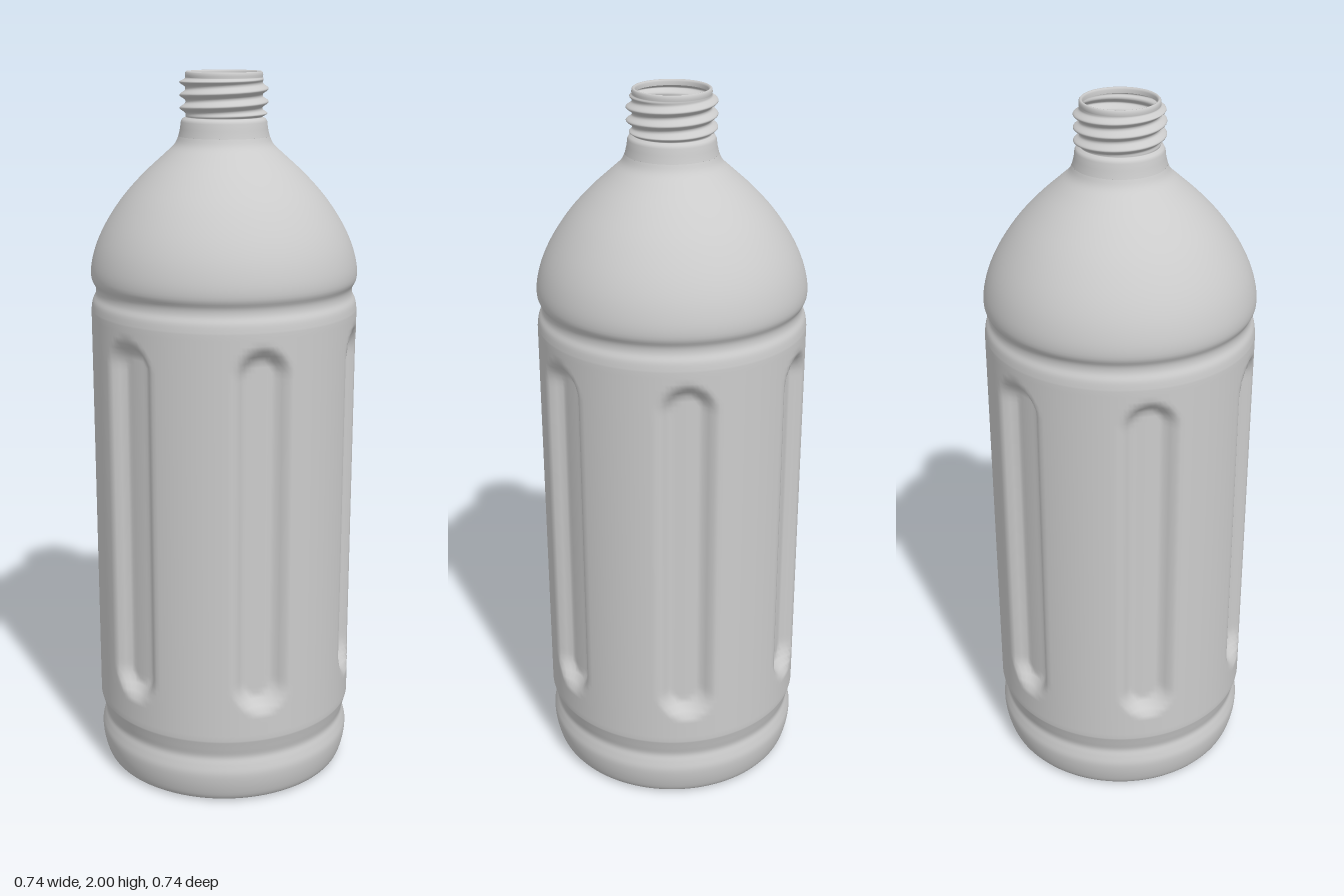
import * as THREE from 'three';
import { mergeVertices } from 'three/addons/utils/BufferGeometryUtils.js';

const v2 = (x, y) => new THREE.Vector2(x, y);
const spline = (pts, n) => new THREE.SplineCurve(pts.map(([x, y]) => v2(x, y))).getPoints(n);
const smooth = THREE.MathUtils.smoothstep;

// Lathe whose radius is changed by a rule radius(r, y, angle), smooth across the seam
function shapedLathe(points, segments, radius) {
  let geo = new THREE.LatheGeometry(points, segments);
  const pos = geo.attributes.position;
  for (let i = 0; i < pos.count; i++) {
    const x = pos.getX(i), y = pos.getY(i), z = pos.getZ(i);
    const r = Math.hypot(x, z);
    if (r < 1e-4) continue;
    const k = radius(r, y, Math.atan2(x, z)) / r;
    pos.setXYZ(i, x * k, y, z * k);
  }
  geo.deleteAttribute('uv');
  geo.deleteAttribute('normal');
  geo = mergeVertices(geo, 1e-5);
  geo.computeVertexNormals();
  return geo;
}

// Six upright grip grooves with rounded ends, one facing the front
function grooved(r, y, angle) {
  if (y < 0.2 || y > 1.36) return r;
  const step = Math.PI / 3;
  const across = (angle - Math.round(angle / step) * step) * r;
  const along = Math.max(0, Math.abs(y - 0.8) - 0.44);
  return r - 0.036 * (1 - smooth(Math.hypot(across, along), 0.042, 0.082));
}

// Helical screw thread that fades out at both ends
function threaded(r, y, angle) {
  if (y < 1.88 || y > 1.985) return r;
  const turn = (y - 1.88) / 0.034 - angle / (2 * Math.PI);
  const ridge = Math.pow(0.5 + 0.5 * Math.cos(turn * 2 * Math.PI), 1.3);
  const fade = smooth(y, 1.88, 1.892) * (1 - smooth(y, 1.973, 1.985));
  return r + 0.016 * ridge * fade;
}

export function createModel() {
  const bottle = new THREE.Group();
  bottle.name = 'bottle';
  const material = new THREE.MeshStandardMaterial({ color: 0xcccccc, side: THREE.DoubleSide });
  const add = (name, geo) => {
    const mesh = new THREE.Mesh(geo, material);
    mesh.name = name;
    bottle.add(mesh);
  };

  // Base with raised centre, foot and lower waist ring
  const base = spline([[0, 0.1], [0.04, 0.088], [0.1, 0.05], [0.19, 0.03], [0.27, 0.01], [0.315, 0],
    [0.347, 0.008], [0.362, 0.045], [0.368, 0.09], [0.362, 0.12], [0.356, 0.143], [0.362, 0.17], [0.37, 0.2]], 48);
  // Straight wall, with rows close enough for the grooves
  const wall = [];
  for (let i = 1; i < 72; i++) wall.push(v2(0.37, 0.2 + 1.16 * i / 72));
  // Upper waist ring and domed shoulder
  const shoulder = spline([[0.37, 1.36], [0.366, 1.385], [0.357, 1.405], [0.357, 1.425], [0.368, 1.45],
    [0.366, 1.49], [0.35, 1.545], [0.32, 1.605], [0.275, 1.67], [0.22, 1.73], [0.165, 1.78],
    [0.135, 1.808], [0.124, 1.83]], 48);
  add('body', shapedLathe([...base, ...wall, ...shoulder], 192, grooved));

  // Neck with screw thread and open, turned-in lip
  const neck = [v2(0.124, 1.83), v2(0.119, 1.85), v2(0.117, 1.868), v2(0.113, 1.876)];
  for (let i = 0; i <= 60; i++) neck.push(v2(0.104, 1.88 + 0.105 * i / 60));
  neck.push(v2(0.105, 1.99), v2(0.104, 1.997), v2(0.101, 2), v2(0.097, 1.999), v2(0.095, 1.994), v2(0.095, 1.985));
  add('neck', shapedLathe(neck, 96, threaded));

  return bottle;
}
